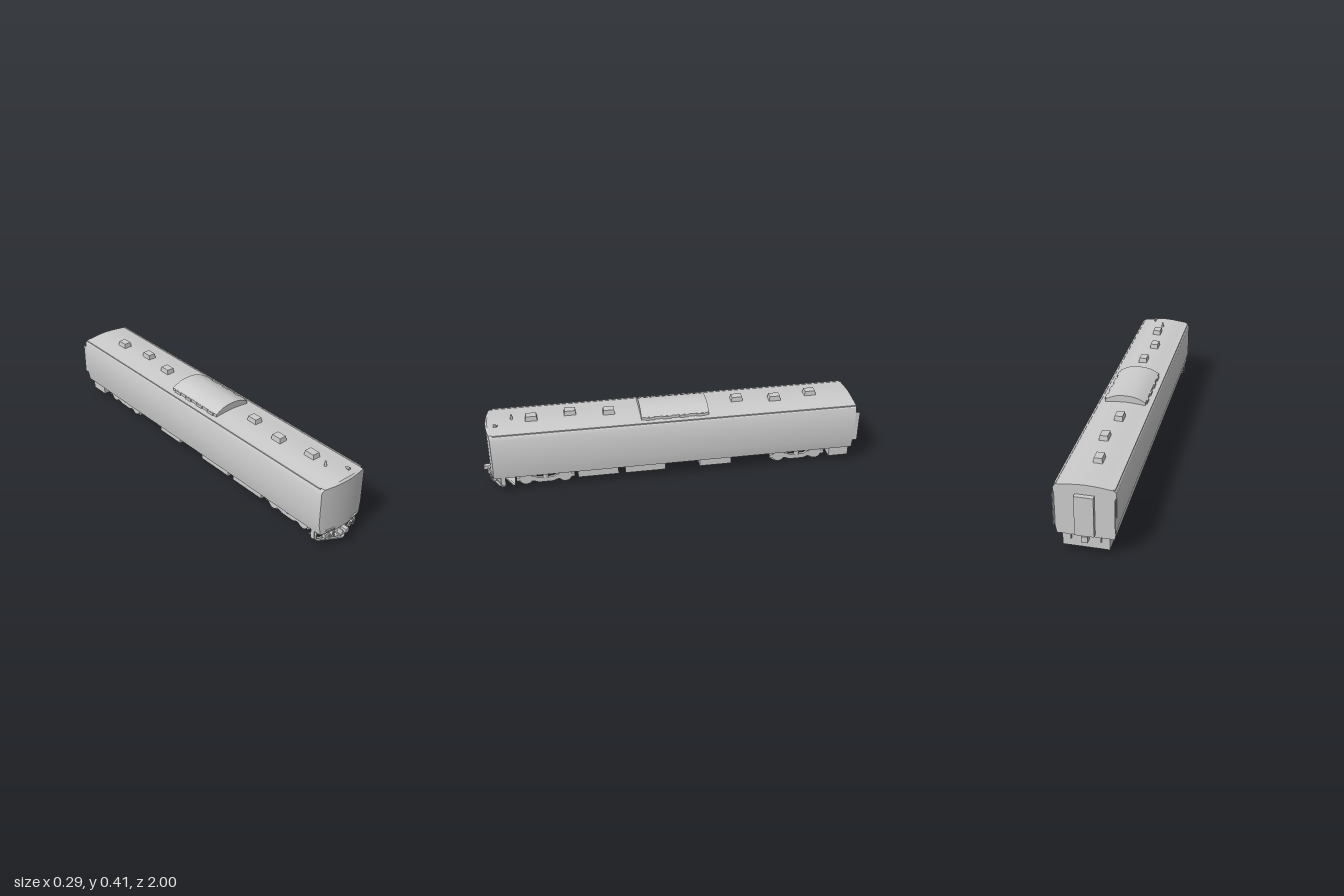
import * as THREE from 'three';
import { toCreasedNormals, mergeVertices } from 'three/addons/utils/BufferGeometryUtils.js';

const grey = new THREE.MeshStandardMaterial({ color: 0xcccccc });
const thin = new THREE.MeshStandardMaterial({ color: 0xcccccc, side: THREE.DoubleSide });

function add(parent, name, geo, x = 0, y = 0, z = 0, mat = grey) {
  const m = new THREE.Mesh(geo, mat);
  m.name = name;
  m.position.set(x, y, z);
  parent.add(m);
  return m;
}
const box = (w, h, d) => new THREE.BoxGeometry(w, h, d);
// box given by its limits
const span = (p, name, x0, x1, y0, y1, z0, z1) =>
  add(p, name, box(x1 - x0, y1 - y0, z1 - z0), (x0 + x1) / 2, (y0 + y1) / 2, (z0 + z1) / 2);

// Equal-length rings of points joined along z; ends closed by strips from top to bottom
function loft(rings, crease = 0.45) {
  const n = rings[0].length, pos = rings.flat(2), idx = [];
  for (let r = 0; r < rings.length - 1; r++)
    for (let i = 0; i < n; i++) {
      const a = r * n + i, b = r * n + (i + 1) % n;
      idx.push(a, a + n, b, b, a + n, b + n);
    }
  const last = (rings.length - 1) * n;
  for (let i = 0; i < n / 2 - 1; i++) {
    const j = n - 1 - i;
    idx.push(i, i + 1, j, i + 1, j - 1, j);
    idx.push(last + i, last + j, last + i + 1, last + i + 1, last + j, last + j - 1);
  }
  const g = new THREE.BufferGeometry();
  g.setAttribute('position', new THREE.Float32BufferAttribute(pos, 3));
  g.setIndex(idx);
  return toCreasedNormals(mergeVertices(g, 1e-5), crease);
}

// Half profile from the side to the centre line, mirrored into a full ring over a flat bottom
function ring(half, bottomX, bottomY, zAt, sx = 1, top = 9) {
  const upper = [...half.map(([x, y]) => [-x, y]), ...half.slice(0, -1).reverse()];
  const lower = upper.map(([x]) => [THREE.MathUtils.clamp(x, -bottomX, bottomX), bottomY]).reverse();
  return [...upper, ...lower].map(([x, y]) => [x * sx, Math.min(y, top - 0.04 * x * x), zAt(x)]);
}

// Car body with a bowed front and a bevelled front edge
function addBody(g) {
  const half = [[0.145, 0.16], [0.145, 0.34], [0.141, 0.35], [0.13, 0.36], [0.105, 0.362],
    [0.075, 0.366], [0.04, 0.369], [0, 0.371]];
  const bow = (z) => (x) => z - 0.022 * (x / 0.145) ** 2;
  add(g, 'body', loft([
    ring(half, 0.134, 0.1, () => -0.975),
    ring(half, 0.134, 0.1, bow(0.957)),
    ring(half, 0.134, 0.1, bow(0.967), 0.98, 0.361),
  ]));
  for (const s of [-1, 1]) {
    add(g, 'gutter', box(0.008, 0.006, 1.9), s * 0.134, 0.359, -0.02);
    add(g, 'rearCornerPlate', box(0.004, 0.17, 0.025), s * 0.142, 0.235, -0.985);
  }
}

// Large curved roof unit and the small tapered ventilators
function addRoof(g) {
  const half = [[0.105, 0.362], [0.105, 0.377], [0.085, 0.388], [0.06, 0.399], [0.035, 0.405], [0, 0.407]];
  add(g, 'roofUnit', loft([ring(half, 0.105, 0.355, () => -0.185), ring(half, 0.105, 0.355, () => 0.17)]));
  for (const s of [-1, 1])
    for (let i = 0; i < 4; i++)
      add(g, 'roofUnitFoot', box(0.012, 0.014, 0.045), s * 0.105, 0.369, -0.14 + i * 0.088);

  [-0.757, -0.556, -0.355, 0.33, 0.53, 0.73].forEach((z, i) => {
    const geo = box(0.046, 0.03, 0.064), p = geo.attributes.position;
    for (let k = 0; k < p.count; k++)
      if (p.getY(k) > 0) p.setXYZ(k, p.getX(k) * 0.85, p.getY(k), p.getZ(k) * 0.85);
    geo.computeVertexNormals();
    add(g, 'ventilator', geo, (i % 2 ? 1 : -1) * 0.012, 0.38, z);
  });

  add(g, 'antenna', new THREE.CylinderGeometry(0.005, 0.007, 0.03, 10), 0, 0.382, 0.83);
  add(g, 'hornPost', new THREE.CylinderGeometry(0.003, 0.003, 0.018, 8), 0.062, 0.373, 0.91);
  const horn = add(g, 'horn', new THREE.CylinderGeometry(0.004, 0.008, 0.022, 10), 0.062, 0.376, 0.912);
  horn.rotation.x = -Math.PI / 2;
}

// Equipment skirts: four walls, open underneath
function addUnderfloor(g) {
  const boxes = [[0.297, 0.512, 0.04, 0.2], [0.045, 0.26, 0.04, 0.2], [-0.047, 0, 0.067, 0.06],
    [-0.314, -0.142, 0.04, 0.2], [-0.507, -0.437, 0.05, 0.05], [-0.968, -0.86, 0.035, 0.22]];
  for (const [z0, z1, y0, w] of boxes) {
    const geo = box(w, 0.101 - y0, z1 - z0), ix = [...geo.index.array];
    geo.setIndex([...ix.slice(0, 12), ...ix.slice(24)]);
    add(g, 'equipmentBox', geo, 0, (y0 + 0.101) / 2, (z0 + z1) / 2, thin);
  }
}

// Two-axle bogie: dumbbell side frames, wheels, axles, bolster and springs
function makeBogie() {
  const b = new THREE.Group();
  b.name = 'bogie';
  const s = new THREE.Shape();
  s.moveTo(-0.07, 0.058);
  s.bezierCurveTo(-0.05, 0.058, -0.05, 0.045, -0.03, 0.045);
  s.lineTo(0.03, 0.045);
  s.bezierCurveTo(0.05, 0.045, 0.05, 0.058, 0.07, 0.058);
  s.absarc(0.103, 0.046, 0.034, 2.7, -2.6, true);
  s.bezierCurveTo(0.055, 0.03, 0.05, 0.018, 0.03, 0.018);
  s.lineTo(-0.03, 0.018);
  s.bezierCurveTo(-0.05, 0.018, -0.055, 0.03, -0.074, 0.028);
  s.absarc(-0.103, 0.046, 0.034, -0.54, 0.44, true);
  const frame = new THREE.ExtrudeGeometry(s, { depth: 0.014, bevelEnabled: false, curveSegments: 8 });
  frame.translate(0, 0, -0.007).rotateY(Math.PI / 2);
  const wheel = new THREE.CylinderGeometry(0.043, 0.043, 0.009, 24).rotateZ(Math.PI / 2);
  const axle = new THREE.CylinderGeometry(0.007, 0.007, 0.13, 10).rotateZ(Math.PI / 2);
  for (const x of [-1, 1]) {
    add(b, 'sideFrame', frame, x * 0.073);
    add(b, 'spring', new THREE.CylinderGeometry(0.014, 0.014, 0.036, 12), x * 0.072, 0.06, 0);
    span(b, 'frameEnd', x * 0.073 - 0.007, x * 0.073 + 0.007, 0.035, 0.055, -0.153, -0.13);
    span(b, 'frameEnd', x * 0.073 - 0.007, x * 0.073 + 0.007, 0.035, 0.055, 0.13, 0.153);
    for (const z of [-0.103, 0.103]) add(b, 'wheel', wheel, x * 0.056, 0.043, z);
  }
  for (const z of [-0.103, 0.103]) add(b, 'axle', axle, 0, 0.043, z);
  span(b, 'bolster', -0.085, 0.085, 0.075, 0.088, -0.038, 0.038);
  span(b, 'pivot', -0.025, 0.025, 0.03, 0.102, -0.02, 0.02);
  return b;
}

// V-shaped plate seen from the front, pushed forward at its centre
function chevron(halfTop, halfBottom, ySide, yMid, h, zSide, zMid) {
  const s = new THREE.Shape([[-halfTop, ySide], [-halfBottom, ySide - h], [0, yMid - h],
    [halfBottom, ySide - h], [halfTop, ySide], [0, yMid]].map(([x, y]) => new THREE.Vector2(x, y)));
  const geo = new THREE.ExtrudeGeometry(s, { depth: 0.012, bevelEnabled: false });
  const p = geo.attributes.position;
  for (let i = 0; i < p.count; i++)
    p.setZ(i, p.getZ(i) + zMid + (zSide - zMid) * Math.abs(p.getX(i)) / halfTop);
  geo.computeVertexNormals();
  return geo;
}

function addFrontGear(g) {
  add(g, 'snowPlough', chevron(0.125, 0.122, 0.049, 0.037, 0.007, 0.91, 0.966), 0, 0, 0, thin);
  add(g, 'lowerPlough', chevron(0.122, 0.108, 0.044, 0.033, 0.02, 0.89, 0.945), 0, 0, 0, thin);
  add(g, 'trackGuard', chevron(0.096, 0.09, 0.026, 0.022, 0.009, 0.84, 0.89), 0, 0, 0, thin);
  // Coupler
  span(g, 'couplerShank', -0.011, 0.011, 0.062, 0.085, 0.86, 0.96);
  span(g, 'couplerHead', -0.016, 0.016, 0.058, 0.088, 0.95, 0.982);
  span(g, 'couplerKnuckle', -0.013, 0.008, 0.08, 0.102, 0.965, 1.0);
  span(g, 'couplerTray', -0.019, 0.019, 0.05, 0.058, 0.935, 0.975);
  for (const s of [-1, 1]) {
    const lamp = add(g, 'headlight', box(0.052, 0.008, 0.012), s * 0.081, 0.115, 0.96);
    lamp.rotation.y = s * 0.16;
    add(g, 'sideStep', box(0.004, 0.052, 0.022), s * 0.131, 0.076, 0.9);
    add(g, 'ploughStay', box(0.006, 0.058, 0.012), s * 0.12, 0.073, 0.91);
    add(g, 'innerStay', box(0.006, 0.062, 0.01), s * 0.03, 0.071, 0.94);
    // Air-hose fittings hanging beside the coupler
    add(g, 'hoseBlock', box(0.024, 0.022, 0.02), s * 0.093, 0.078, 0.945);
    add(g, 'hoseBracket', box(0.035, 0.008, 0.02), s * 0.085, 0.096, 0.94);
    for (const x of [0.055, 0.076]) {
      const path = new THREE.CatmullRomCurve3([[x, 0.1, 0.93], [x + 0.004, 0.085, 0.962],
        [x + 0.006, 0.066, 0.962], [x - 0.004, 0.056, 0.945]].map(([a, b, c]) => new THREE.Vector3(s * a, b, c)));
      add(g, 'airHose', new THREE.TubeGeometry(path, 12, 0.004, 6), 0, 0, 0, thin);
    }
  }
}

function addRearGear(g) {
  span(g, 'gangway', -0.045, 0.045, 0.115, 0.32, -0.998, -0.97);
  span(g, 'rearCoupler', -0.015, 0.015, 0.08, 0.112, -1.0, -0.96);
  for (const s of [-1, 1])
    add(g, 'rearHosePipe', box(0.006, 0.03, 0.008), s * 0.07, 0.09, -0.972);
}

export function createModel() {
  const g = new THREE.Group();
  g.name = 'railCar';
  addBody(g);
  addRoof(g);
  addUnderfloor(g);
  for (const z of [0.682, -0.688]) {
    const bogie = makeBogie();
    bogie.position.z = z;
    g.add(bogie);
  }
  addFrontGear(g);
  addRearGear(g);
  return g;
}
